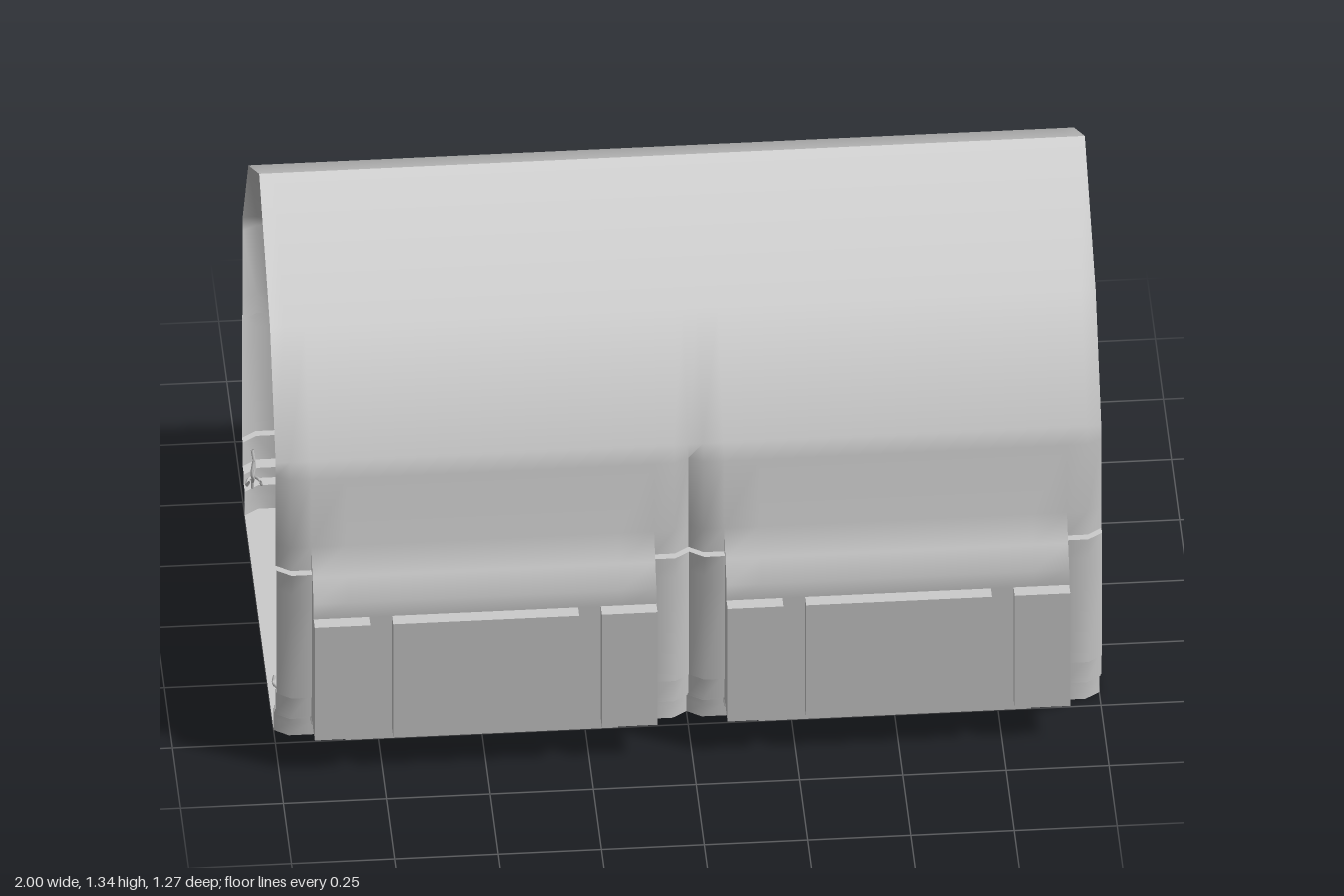
import * as THREE from 'three';
import { toCreasedNormals } from 'three/addons/utils/BufferGeometryUtils.js';

const material = new THREE.MeshStandardMaterial({ color: 0xcccccc, side: THREE.DoubleSide });

// Heights shared by every wall section, and the wall depth at each height
const heights = [0, .035, .035, .07, .07, .1, .1, .17, .17, .435, .435, .48, .535, .535, .6, .8, .84];
const groove = [.445, .445, .445, .445, .475, .475, .51, .51, .53, .53, .53, .53, .53, .51, .51, .51, .51];
const pier = [.47, .47, .47, .47, .5, .5, .535, .535, .555, .555, .555, .555, .555, .535, .53, .53, .51];
const panel = [.5, .5, .535, .535, .535, .535, .635, .635, .635, .635, .6, .6, .567, .567, .53, .53, .51];
const gap = panel.map((z, i) => (i > 5 && i < 10 ? .6 : z));
const jamb = panel.map((z, i) => (i < 4 ? .47 : z));

// Sections along half a bay; repeated positions make the square steps
const halfBay = [
  [0, groove], [.035, pier], [.085, pier], [.085, jamb], [.17, jamb], [.17, panel],
  [.22, panel], [.22, gap], [.275, gap], [.275, panel],
];
const bay = [...halfBay, ...halfBay.slice().reverse().map(([x, p]) => [1 - x, p])];
const stations = [-1, 0].flatMap(start => bay.map(([x, p]) => [start + x, p]));

// Skin a list of cross-sections of [z, y] points, leaving out empty triangles
function loft(section) {
  const positions = [];
  const rings = stations.map(([x, p]) => section(p).map(([z, y]) => new THREE.Vector3(x, y, z)));
  const add = (a, b, c) => {
    if (new THREE.Triangle(a, b, c).getArea() < 1e-7) return;
    for (const v of [a, b, c]) positions.push(v.x, v.y, v.z);
  };
  for (let i = 0; i < rings.length - 1; i++) {
    for (let j = 0; j < rings[i].length - 1; j++) {
      const a = rings[i][j], b = rings[i + 1][j], c = rings[i + 1][j + 1], d = rings[i][j + 1];
      add(a, b, c);
      add(a, c, d);
    }
  }
  const geometry = new THREE.BufferGeometry();
  geometry.setAttribute('position', new THREE.Float32BufferAttribute(positions, 3));
  return toCreasedNormals(geometry, 0.85);
}

function addMesh(parent, name, geometry) {
  const mesh = new THREE.Mesh(geometry, material);
  mesh.name = name;
  parent.add(mesh);
  return mesh;
}

// Branching horn ornament, rising from the foot of a pier towards the inside
function createHorns() {
  const group = new THREE.Group();
  group.name = 'hornOrnament';
  const paths = [
    [[0, .07, .46], [0, .1, .455], [.005, .13, .465], [0, .175, .472]],
    [[0, .09, .457], [0, .115, .435], [-.005, .14, .42], [0, .175, .425]],
    [[0, .11, .45], [.012, .118, .43], [.018, .115, .41], [.014, .13, .4]],
    [[0, .11, .45], [-.012, .118, .43], [-.018, .115, .41], [-.014, .13, .4]],
  ];
  for (const path of paths) {
    const curve = new THREE.CatmullRomCurve3(path.map(p => new THREE.Vector3(...p)));
    addMesh(group, 'horn', new THREE.TubeGeometry(curve, 8, .004, 5));
  }
  return group;
}

export function createModel() {
  const model = new THREE.Group();
  model.name = 'vaultedTunnel';

  // Walls and roof in one sheet, from the front foot over the ridge to the back foot
  const shell = loft(p => {
    const side = [...p.map((z, i) => [z, heights[i]]), [.335, 1.12]];
    return [...side, [0, 1.335], ...side.map(([z, y]) => [-z, y]).reverse()];
  });
  addMesh(model, 'wallsAndRoof', shell);
  addMesh(model, 'floor', loft(p => [[-p[0], 0], [p[0], 0]]));

  // Ornaments along both walls
  for (const side of [1, -1]) {
    for (const x of [-.98, 0, .98]) {
      const horns = createHorns();
      horns.position.x = x;
      horns.scale.z = side;
      model.add(horns);
    }
    // Crescents at the lower inner corners of the panels
    for (const x of [-.725, -.275, .275, .725]) {
      const crescent = addMesh(model, 'panelCrescent', new THREE.TorusGeometry(.045, .005, 5, 12, Math.PI));
      crescent.rotation.z = Math.PI;
      crescent.position.set(x, .155, side * .585);
    }
  }
  return model;
}
